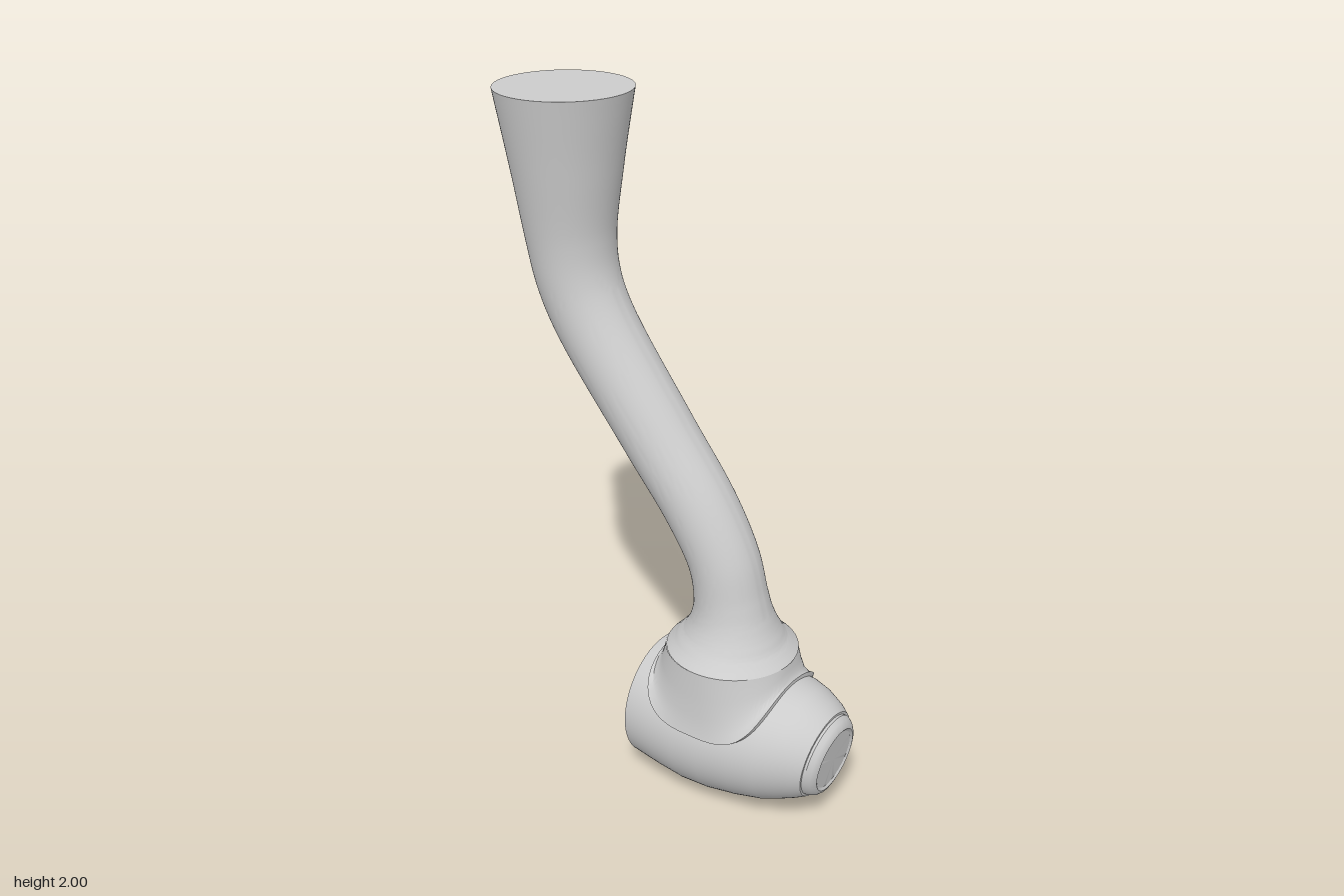
import * as THREE from 'three';
import { toCreasedNormals } from 'three/addons/utils/BufferGeometryUtils.js';

const SEG = 72;
const material = new THREE.MeshStandardMaterial({ color: 0xcccccc });

// Skin a list of closed rings, with optional flat caps at both ends
function loft(name, rings, capStart = false, capEnd = false) {
  const pos = rings.flat().flatMap(p => [p.x, p.y, p.z]);
  const index = [];
  for (let i = 0; i < rings.length - 1; i++) {
    for (let j = 0; j < SEG; j++) {
      const k = (j + 1) % SEG;
      const a = i * SEG + j, b = i * SEG + k;
      index.push(a, b, b + SEG, a, b + SEG, a + SEG);
    }
  }
  const cap = (i, flip) => {
    const c = new THREE.Vector3();
    rings[i].forEach(p => c.addScaledVector(p, 1 / SEG));
    const n = pos.length / 3;
    pos.push(c.x, c.y, c.z);
    for (let j = 0; j < SEG; j++) {
      const a = i * SEG + j, b = i * SEG + (j + 1) % SEG;
      index.push(n, flip ? b : a, flip ? a : b);
    }
  };
  if (capStart) cap(0, true);
  if (capEnd) cap(rings.length - 1, false);
  const geo = new THREE.BufferGeometry();
  geo.setAttribute('position', new THREE.Float32BufferAttribute(pos, 3));
  geo.setIndex(index);
  const mesh = new THREE.Mesh(toCreasedNormals(geo, 0.5), material);
  mesh.name = name;
  return mesh;
}

const ring = fn => Array.from({ length: SEG }, (_, j) => fn(j / SEG * Math.PI * 2));

// Upright ring across the body, leaning between its top and bottom points
const bodyRing = ([zTop, yTop, zBot, yBot, rx]) => ring(a => {
  const s = Math.sin(a);
  return new THREE.Vector3(
    rx * Math.cos(a),
    (yTop + yBot) / 2 + s * (yTop - yBot) / 2,
    (zTop + zBot) / 2 + s * (zTop - zBot) / 2);
});

// S-shaped neck, flared at both ends; each point is (radius, y, z)
function makeNeck() {
  const curve = new THREE.CatmullRomCurve3([
    [0.19, 0.475, 0.19], [0.165, 0.5, 0.19], [0.142, 0.53, 0.19], [0.12, 0.575, 0.188],
    [0.107, 0.63, 0.182], [0.102, 0.74, 0.157], [0.104, 0.88, 0.08], [0.107, 1.075, -0.07],
    [0.113, 1.365, -0.285], [0.118, 1.48, -0.338], [0.127, 1.6, -0.36],
    [0.156, 1.8, -0.367], [0.19, 2, -0.37],
  ].map(p => new THREE.Vector3(...p)));
  const X = new THREE.Vector3(1, 0, 0), n = 90;
  const rings = [];
  for (let i = 0; i <= n; i++) {
    const p = curve.getPoint(i / n);
    const t = curve.getTangent(i / n).setX(0).normalize();
    if (i === 0 || i === n) t.set(0, 1, 0);
    const side = t.cross(X);
    rings.push(ring(a => new THREE.Vector3(0, p.y, p.z)
      .addScaledVector(X, p.x * Math.cos(a))
      .addScaledVector(side, p.x * Math.sin(a))));
  }
  return loft('neck', rings, false, true);
}

// Saddle collar: round at the top, wrapping over the body below
function makeCollar() {
  const zc = 0.188, yAxis = 0.21;
  const power = v => Math.sign(v) * Math.abs(v) ** (2 / 3);
  const top = a => new THREE.Vector3(0.19 * Math.cos(a), 0.475, zc - 0.19 * Math.sin(a));
  const hem = (a, rx, ry) => {
    const phi = 1.28 * power(Math.cos(a));
    return new THREE.Vector3(rx * Math.sin(phi), yAxis + ry * Math.cos(phi),
      zc - 0.205 * power(Math.sin(a)));
  };
  const between = (a, tXZ, tY) => {
    const p = top(a), q = hem(a, 0.217, 0.212);
    return new THREE.Vector3(
      THREE.MathUtils.lerp(p.x, q.x, tXZ),
      THREE.MathUtils.lerp(p.y, q.y, tY),
      THREE.MathUtils.lerp(p.z, q.z, tXZ));
  };
  return loft('saddleCollar', [
    ring(a => hem(a, 0.185, 0.18)),
    ring(a => between(a, 1, 1)),
    ring(a => between(a, 0.7, 0.88)),
    ring(a => between(a, 0.42, 0.68)),
    ring(a => between(a, 0.2, 0.38)),
    ring(a => top(a)),
  ]);
}

export function createModel() {
  const model = new THREE.Group();
  model.name = 'model';

  // Barrel body; each row is zTop, yTop, zBottom, yBottom, half width
  const body = [
    [-0.06, 0.4, -0.06, 0.02, 0.19], [-0.02, 0.405, -0.02, 0.016, 0.197],
    [0.04, 0.41, 0.04, 0.009, 0.206], [0.12, 0.414, 0.12, 0, 0.212],
    [0.21, 0.415, 0.2, 0.003, 0.211], [0.32, 0.414, 0.29, 0.018, 0.203],
    [0.4, 0.41, 0.37, 0.037, 0.191], [0.45, 0.398, 0.42, 0.056, 0.173],
    [0.5, 0.372, 0.465, 0.076, 0.151], [0.526, 0.352, 0.492, 0.09, 0.133],
  ];
  model.add(loft('body', body.map(bodyRing), true, true));

  // Tilted nose cap with a shallow dished disc
  const nose = [
    [0.515, 0.344, 0.482, 0.096, 0.126], [0.533, 0.344, 0.5, 0.096, 0.126],
    [0.545, 0.334, 0.516, 0.101, 0.117], [0.553, 0.322, 0.525, 0.109, 0.106],
    [0.555, 0.312, 0.529, 0.118, 0.097], [0.549, 0.304, 0.525, 0.126, 0.089],
  ];
  model.add(loft('noseCap', nose.map(bodyRing), false, true));

  model.add(makeCollar(), makeNeck());
  return model;
}
